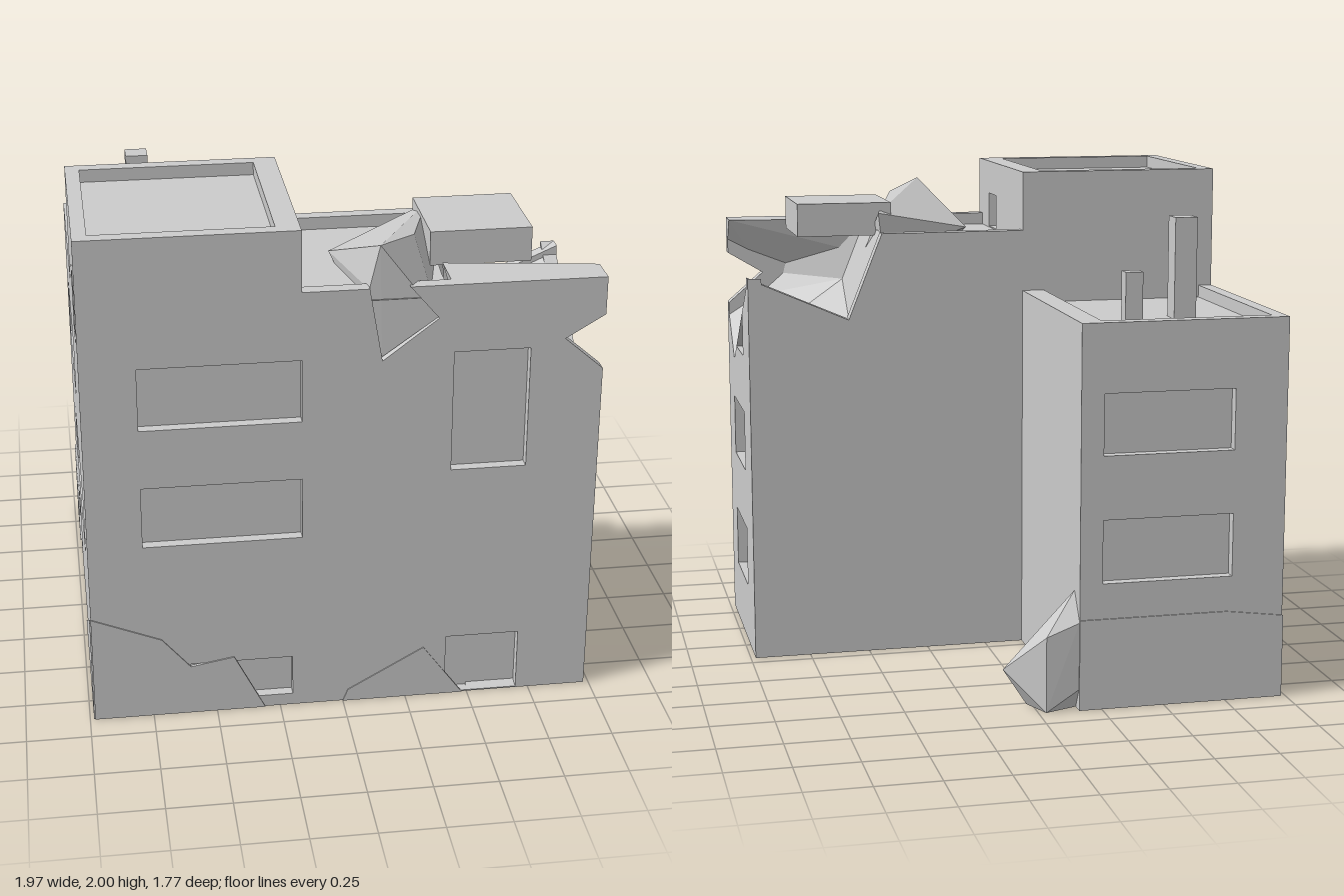
import * as THREE from 'three';
import { ConvexGeometry } from 'three/addons/geometries/ConvexGeometry.js';

const T = 0.055; // wall thickness
const solid = new THREE.MeshStandardMaterial({ color: 0xcccccc, flatShading: true });
const open = new THREE.MeshStandardMaterial({ color: 0xcccccc, flatShading: true, side: THREE.DoubleSide });

export function createModel() {
  const model = new THREE.Group();

  const add = (name, geometry, material = solid, parent = model) => {
    const mesh = new THREE.Mesh(geometry, material);
    mesh.name = name;
    parent.add(mesh);
    return mesh;
  };
  const box = (name, x0, x1, y0, y1, z0, z1, parent = model) =>
    add(name, new THREE.BoxGeometry(x1 - x0, y1 - y0, z1 - z0), solid, parent)
      .position.set((x0 + x1) / 2, (y0 + y1) / 2, (z0 + z1) / 2);
  const shapeOf = pts => new THREE.Shape(pts.map(p => new THREE.Vector2(...p)));
  const rock = (name, pts) => add(name, new ConvexGeometry(pts.map(p => new THREE.Vector3(...p))));

  // Upright panel; axis 'z' faces front/back, axis 'x' faces the sides.
  // outer = plane of the outer face, dir = sign of its outward normal.
  const wall = (name, axis, outer, dir, outline, windows = [], depth = T) => {
    const group = new THREE.Group();
    group.name = name;
    const shape = shapeOf(outline);
    for (const [u0, u1, v0, v1] of windows) {
      shape.holes.push(new THREE.Path([[u0, v0], [u0, v1], [u1, v1], [u1, v0]].map(p => new THREE.Vector2(...p))));
    }
    add(name + 'Panel', new THREE.ExtrudeGeometry(shape, { depth, bevelEnabled: false }), solid, group);
    const outerAtEnd = axis === 'z' ? dir > 0 : dir < 0;
    const pane = outerAtEnd ? 0 : depth - 0.012;
    for (const [u0, u1, v0, v1] of windows) box('windowPane', u0, u1, v0, v1, pane, pane + 0.012, group);
    if (axis === 'z') group.position.z = dir > 0 ? outer - depth : outer;
    else {
      group.rotation.y = -Math.PI / 2;
      group.position.x = dir > 0 ? outer : outer + depth;
    }
    model.add(group);
  };

  // Surface made of triangles listed by point index
  const facets = (name, pts, faces) => {
    const geometry = new THREE.BufferGeometry();
    geometry.setAttribute('position', new THREE.Float32BufferAttribute(faces.flat().flatMap(i => pts[i]), 3));
    geometry.computeVertexNormals();
    return add(name, geometry, open);
  };
  // Level polygon given as x, z
  const level = (name, y, pts) => {
    const geometry = new THREE.ShapeGeometry(shapeOf(pts.map(([x, z]) => [x, -z])));
    geometry.rotateX(-Math.PI / 2);
    add(name, geometry, open).position.y = y;
  };

  // Outer walls
  wall('frontWall', 'z', 0.88, 1, [
    [-0.98, 0], [0.98, 0], [0.98, 1.39], [0.83, 1.52], [0.98, 1.61], [0.98, 1.76], [0.24, 1.76],
    [0.35, 1.63], [0.14, 1.47], [0.09, 1.76], [-0.16, 1.76], [-0.16, 2], [-0.98, 2],
  ], [
    [-0.77, -0.16, 1.24, 1.49], [-0.77, -0.16, 0.75, 1], [0.41, 0.7, 1, 1.49],
    [0.41, 0.7, 0.005, 0.26], [-0.6, -0.2, 0.05, 0.22],
  ]);
  wall('leftSideWall', 'x', 0.98, 1, [
    [0.06, 0], [0.88, 0], [0.88, 1.39], [0.65, 1.17], [0.55, 1.24], [0.3, 1.24], [0.3, 1.42], [0.06, 1.59],
  ], [[0.3, 0.68, 0.75, 1], [0.3, 0.68, 0.25, 0.5]]);
  wall('mainBackWall', 'z', 0.06, -1, [
    [-0.16, 0], [0.98, 0], [0.98, 1.59], [0.57, 1.41], [0.43, 1.76], [-0.16, 1.76],
    [-0.16, 2], [-0.98, 2], [-0.98, 1.4], [-0.16, 1.4],
  ]);
  wall('rightSideWall', 'x', -0.98, -1, [
    [-0.88, 0], [0.88, 0], [0.88, 2], [0.06, 2], [0.06, 1.51], [-0.88, 1.51],
  ], [
    [-0.65, 0.06, 1, 1.25], [-0.41, 0.47, 0.5, 0.75], [0.47, 0.67, 1.5, 1.76], [-0.65, -0.41, 0.005, 0.26],
  ]);
  wall('wingInnerWall', 'x', -0.16, 1, [[-0.88, 0], [0.06, 0], [0.06, 1.51], [-0.88, 1.51]]);
  wall('wingBackWall', 'z', -0.88, -1, [[-0.98, 0], [-0.16, 0], [-0.16, 1.51], [-0.98, 1.51]],
    [[-0.77, -0.25, 1, 1.24], [-0.77, -0.25, 0.5, 0.75]]);
  wall('towerInnerWall', 'x', -0.16, 1, [[0.06, 1.65], [0.88, 1.65], [0.88, 2], [0.06, 2]],
    [[0.55, 0.69, 1.715, 1.86]], 0.09);

  // Sunken roofs, kerb and chimneys
  level('towerRoof', 1.95, [[-0.97, 0.07], [-0.17, 0.07], [-0.17, 0.87], [-0.97, 0.87]]);
  level('wingRoof', 1.46, [[-0.97, -0.87], [-0.17, -0.87], [-0.17, 0.07], [-0.97, 0.07]]);
  level('mainRoof', 1.71, [[-0.16, 0.07], [0.44, 0.07], [0.4, 0.66], [0.4, 0.87], [-0.16, 0.87]]);
  box('wingKerb', -0.25, -0.165, 1.42, 1.51, -0.875, 0.06);
  box('tallChimney', -0.72, -0.63, 1.45, 1.86, -0.53, -0.44);
  box('shortChimney', -0.48, -0.41, 1.45, 1.66, -0.6, -0.54);
  box('roofUnit', 0.36, 0.75, 1.735, 1.87, 0.24, 0.62);

  // Broken upper corner
  facets('brokenCorner', [
    [0.98, 1.59, 0.06], [0.98, 1.17, 0.65], [0.98, 1.39, 0.88], [0.83, 1.52, 0.88],
    [0.57, 1.41, 0.06], [0.43, 1.76, 0.06], [0.5, 1.5, 0.68], [0.4, 1.76, 0.66],
    [0.93, 1.24, 0.58], [0.93, 1.24, 0.28], [0.93, 1.44, 0.28], [0.76, 1.33, 0.43],
  ], [
    [0, 1, 11], [0, 11, 4], [11, 6, 4], [1, 6, 11], [1, 2, 6], [2, 3, 6],
    [4, 6, 5], [5, 6, 7], [3, 7, 6], [8, 9, 10],
  ]);
  rock('frontParapetStub', [
    [0.4, 1.76, 0.66], [0.6, 1.76, 0.69], [0.98, 1.76, 0.75], [0.98, 1.76, 0.875], [0.4, 1.76, 0.875],
    [0.98, 1.61, 0.875], [0.83, 1.53, 0.875], [0.45, 1.55, 0.875], [0.45, 1.62, 0.7],
  ]);

  // Tilted slab wedged in the front roof edge
  rock('tiltedRoofSlab', [
    [0.13, 1.92, 0.86], [0.29, 1.88, 0.66], [0.42, 1.83, 0.2], [0, 1.74, 0.43], [0.09, 1.75, 0.86],
    [0.14, 1.48, 0.865], [0.35, 1.63, 0.865], [0.46, 1.62, 0.4], [0.4, 1.65, 0.2],
  ]);

  // Cracked base pieces standing slightly proud of the walls
  const cracked = (name, axis, outer, dir, pts) => wall(name, axis, outer, dir, pts, [], 0.012);
  cracked('frontCornerChunk', 'z', 0.885, 1,
    [[-0.98, 0], [-0.31, 0], [-0.43, 0.24], [-0.6, 0.21], [-0.71, 0.34], [-0.98, 0.45]]);
  cracked('frontBaseChunk', 'z', 0.884, 1, [[0, 0], [0.48, 0], [0.32, 0.22], [0.02, 0.05]]);
  cracked('sideCornerChunk', 'x', -0.985, -1, [[0.13, 0], [0.88, 0], [0.88, 0.45]]);
  cracked('wingCornerChunk', 'x', -0.985, -1, [[-0.88, 0], [-0.57, 0], [-0.88, 0.33]]);
  cracked('wingBackChunk', 'z', -0.885, -1, [[-0.98, 0], [-0.16, 0], [-0.16, 0.36], [-0.75, 0.36], [-0.98, 0.33]]);

  // Boulder pushed through the wing corner
  rock('cornerBoulder', [
    [-0.16, 0.46, -0.8], [-0.16, 0.35, -0.88], [-0.03, 0.3, -0.88], [0.11, 0.14, -0.74], [-0.08, 0.18, -0.52],
    [-0.16, 0.18, -0.5], [-0.08, 0.06, -0.62], [-0.03, 0, -0.88], [0.02, 0, -0.76], [-0.16, 0, -0.64],
    [-0.5, 0, -0.7], [-0.5, 0.3, -0.87],
  ]);

  // Underside: level floor with two broken hollows
  level('floor', 0.002, [[-0.98, 0.88], [0.5, 0.87], [0.53, 0.53], [-0.17, 0.19], [-0.38, 0], [-0.98, 0.08]]);
  const hollow = (name, peak, rim) => facets(name, [peak, ...rim.map(([x, z]) => [x, 0.002, z])],
    rim.map((_, i) => [0, i + 1, (i + 1) % rim.length + 1]));
  hollow('mainHollow', [0.6, 0.22, 0.28],
    [[0.97, 0.87], [0.5, 0.87], [0.53, 0.53], [-0.17, 0.19], [-0.38, 0], [-0.16, 0.07], [0.97, 0.07]]);
  hollow('wingHollow', [-0.55, 0.2, -0.4],
    [[-0.97, 0.08], [-0.38, 0], [-0.17, 0.06], [-0.17, -0.87], [-0.97, -0.87]]);

  return model;
}
